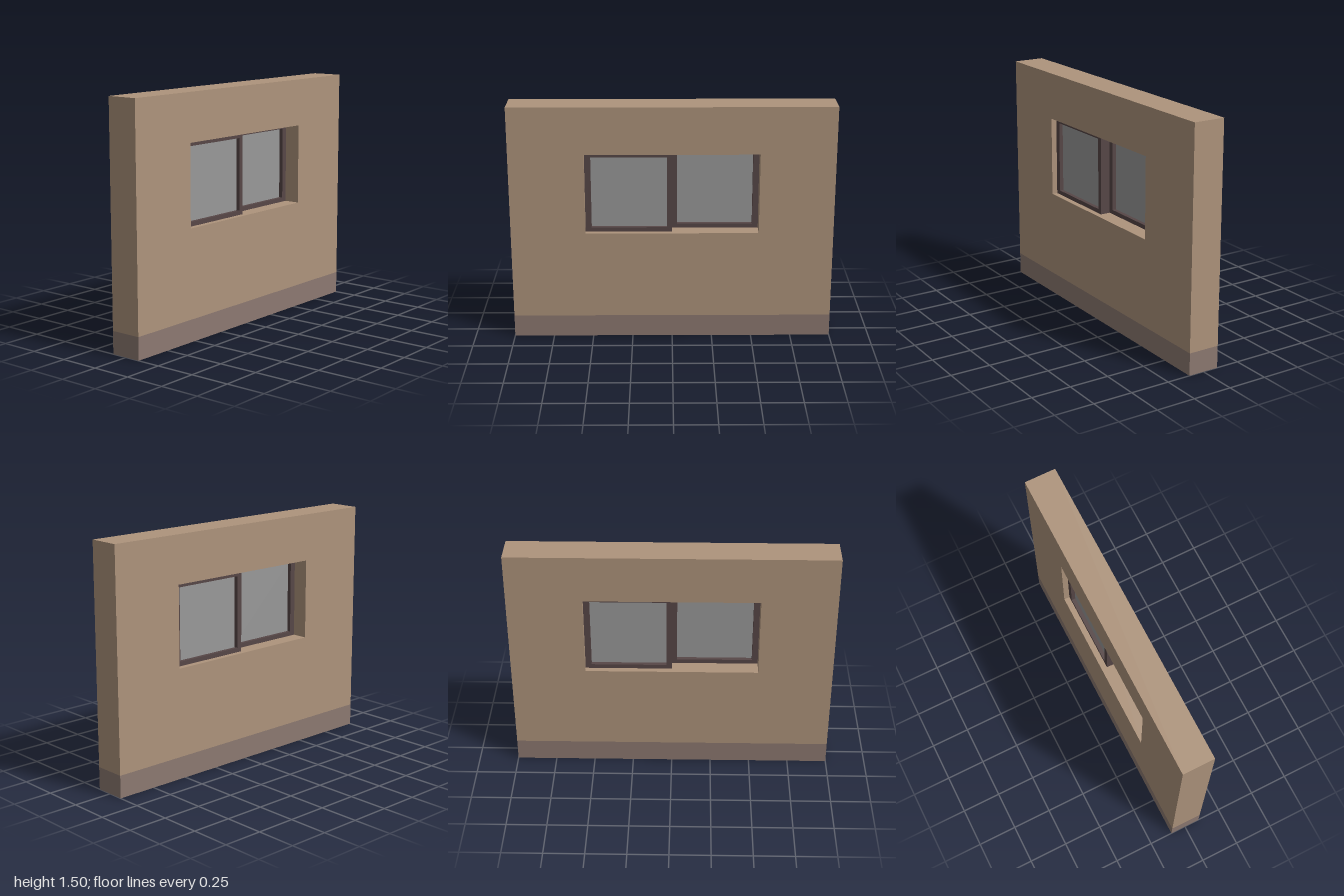
import * as THREE from 'three';

const mat = (name, color) => {
  const m = new THREE.MeshStandardMaterial({ color });
  m.name = name;
  return m;
};

// Rectangle outline, usable as a shape or a hole
const rect = (Type, x0, y0, x1, y1) => {
  const p = new Type();
  p.moveTo(x0, y0);
  p.lineTo(x1, y0);
  p.lineTo(x1, y1);
  p.lineTo(x0, y1);
  p.closePath();
  return p;
};

// Rectangular panel with a rectangular hole, centred in depth
const panelWithHole = (outer, hole, depth) => {
  const shape = rect(THREE.Shape, ...outer);
  shape.holes.push(rect(THREE.Path, ...hole));
  return new THREE.ExtrudeGeometry(shape, { depth, bevelEnabled: false }).translate(0, 0, -depth / 2);
};

export function createModel() {
  const wallPaint = mat('wall tan', 0xae947c);
  const plinthPaint = mat('plinth brown', 0x8d7971);
  const framePaint = mat('frame dark brown', 0x574747);
  const glassPaint = mat('glass grey', 0x999999);

  const model = new THREE.Group();
  model.name = 'wallWithSlidingWindow';
  const add = (parent, name, geometry, material) => {
    const mesh = new THREE.Mesh(geometry, material);
    mesh.name = name;
    parent.add(mesh);
    return mesh;
  };

  const depth = 0.2, plinthTop = 0.14;
  const halfOpening = 0.537, sill = 0.695, head = 1.203;

  // Wall with window opening, on a flush plinth
  add(model, 'wall', panelWithHole(
    [-1, plinthTop, 1, 1.5], [-halfOpening, sill, halfOpening, head], depth), wallPaint);
  add(model, 'plinth', new THREE.BoxGeometry(2, plinthTop, depth).translate(0, plinthTop / 2, 0), plinthPaint);

  // Two sliding sashes on neighbouring tracks: one forward, one behind
  const sashDepth = 0.064, inner = 0.032, outer = 0.5, low = 0.722, high = 1.176;
  for (const side of [-1, 1]) {
    const sash = new THREE.Group();
    sash.name = side < 0 ? 'frontSash' : 'backSash';
    sash.position.z = -side * sashDepth / 2;
    const xs = (a, b) => [Math.min(side * a, side * b), Math.max(side * a, side * b)];
    const [x0, x1] = xs(0, halfOpening), [h0, h1] = xs(inner, outer);
    add(sash, 'sashFrame', panelWithHole([x0, sill, x1, head], [h0, low, h1, high], sashDepth), framePaint);
    add(sash, 'glassPane', new THREE.BoxGeometry(outer - inner, high - low, 0.014)
      .translate((h0 + h1) / 2, (low + high) / 2, 0), glassPaint);
    model.add(sash);
  }
  return model;
}
